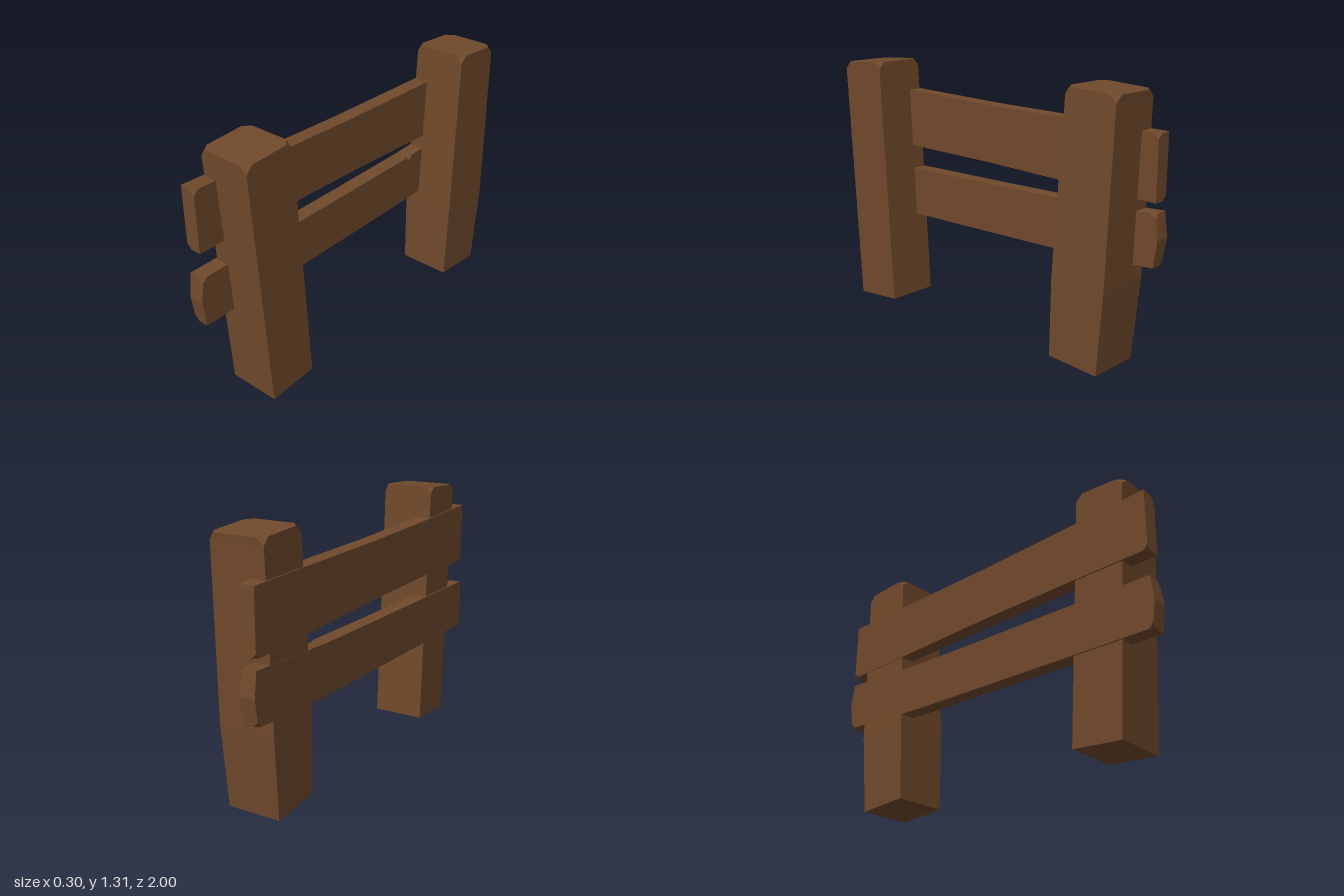
import * as THREE from 'three';

const NONE = [0, 0, 0, 0];

// One cross-section: spans x0..x1 and the line a -> b in the (z, y) plane.
// cuts = chamfer size at the corners [x0 a, x1 a, x1 b, x0 b]; two points per corner.
function ring({ x0, x1, a, b, cuts = NONE }) {
  const P = (x, p) => new THREE.Vector3(x, p[1], p[0]);
  const corners = [P(x0, a), P(x1, a), P(x1, b), P(x0, b)];
  const points = [];
  corners.forEach((corner, i) => {
    for (const j of [(i + 3) % 4, (i + 1) % 4]) {
      const dir = corners[j].clone().sub(corner).normalize();
      points.push(corner.clone().addScaledVector(dir, cuts[i]));
    }
  });
  return points;
}

// Loft through the sections and close both ends.
function timber(name, sections, material) {
  const rings = sections.map(ring);
  const pos = [];
  const area = new THREE.Triangle();
  const tri = (p, q, r) => {
    if (area.set(p, q, r).getArea() > 1e-7) for (const v of [p, q, r]) pos.push(v.x, v.y, v.z);
  };
  const centre = (r) => r.reduce((s, p) => s.add(p), new THREE.Vector3()).divideScalar(r.length);
  for (let i = 0; i < rings.length - 1; i++) {
    const lo = rings[i], hi = rings[i + 1];
    for (let k = 0; k < 8; k++) {
      const n = (k + 1) % 8;
      tri(lo[k], lo[n], hi[n]);
      tri(lo[k], hi[n], hi[k]);
    }
  }
  const first = rings[0], last = rings[rings.length - 1];
  const c0 = centre(first), c1 = centre(last);
  for (let k = 0; k < 8; k++) {
    const n = (k + 1) % 8;
    tri(c0, first[n], first[k]);
    tri(c1, last[k], last[n]);
  }
  const geometry = new THREE.BufferGeometry();
  geometry.setAttribute('position', new THREE.Float32BufferAttribute(pos, 3));
  geometry.computeVertexNormals();
  const mesh = new THREE.Mesh(geometry, material);
  mesh.name = name;
  return mesh;
}

export function createModel() {
  const model = new THREE.Group();
  model.name = 'fence';
  const wood = new THREE.MeshStandardMaterial({ color: 0x70492b, flatShading: true });
  const topCut = [0.035, 0.035, 0.035, 0.035];

  // Leaning posts, bottom to top; a is the front edge, b the back edge
  const front = { x0: -0.14, x1: 0.135 };
  model.add(timber('frontPost', [
    { ...front, a: [0.79, 0], b: [0.525, 0.02] },
    { ...front, a: [0.868, 1.255], b: [0.599, 1.272] },
    { ...front, a: [0.87, 1.29], b: [0.601, 1.307], cuts: topCut },
  ], wood));

  const back = { x0: -0.14, x1: 0.138 };
  model.add(timber('backPost', [
    { ...back, a: [-0.567, 0.02], b: [-0.838, 0] },
    { x0: -0.149, x1: 0.146, a: [-0.578, 0.42], b: [-0.873, 0.41] },
    { ...back, a: [-0.629, 1.272], b: [-0.899, 1.255] },
    { ...back, a: [-0.631, 1.307], b: [-0.902, 1.29], cuts: topCut },
  ], wood));

  // Planks, front to back; a is the top edge, b the bottom edge
  const plank = { x0: -0.148, x1: -0.069 };
  const endCut = [0, 0.025, 0, 0.025];
  const at = (z, top, bottom, cuts = NONE) => ({ ...plank, a: [z, top], b: [z, bottom], cuts });

  model.add(timber('upperPlank', [
    at(0.985, 1.16, 0.845, endCut),
    at(0.96, 1.159, 0.845),
    at(0.55, 1.143, 0.842),
    at(0, 1.126, 0.833),
    at(-0.6, 1.118, 0.812),
    at(-0.958, 1.112, 0.801),
    at(-0.983, 1.111, 0.8, endCut),
  ], wood));

  // Lower plank has pointed ends and a small nick in its top edge
  model.add(timber('lowerPlank', [
    at(1, 0.59, 0.588),
    at(0.985, 0.712, 0.456, endCut),
    at(0.96, 0.713, 0.456),
    at(0, 0.722, 0.466),
    at(-0.45, 0.728, 0.472),
    at(-0.48, 0.729, 0.473, [0, 0.02, 0, 0]),
    at(-0.51, 0.731, 0.474),
    at(-0.62, 0.736, 0.48),
    at(-0.96, 0.751, 0.498),
    at(-0.983, 0.753, 0.499, endCut),
    at(-1, 0.631, 0.629),
  ], wood));

  return model;
}
